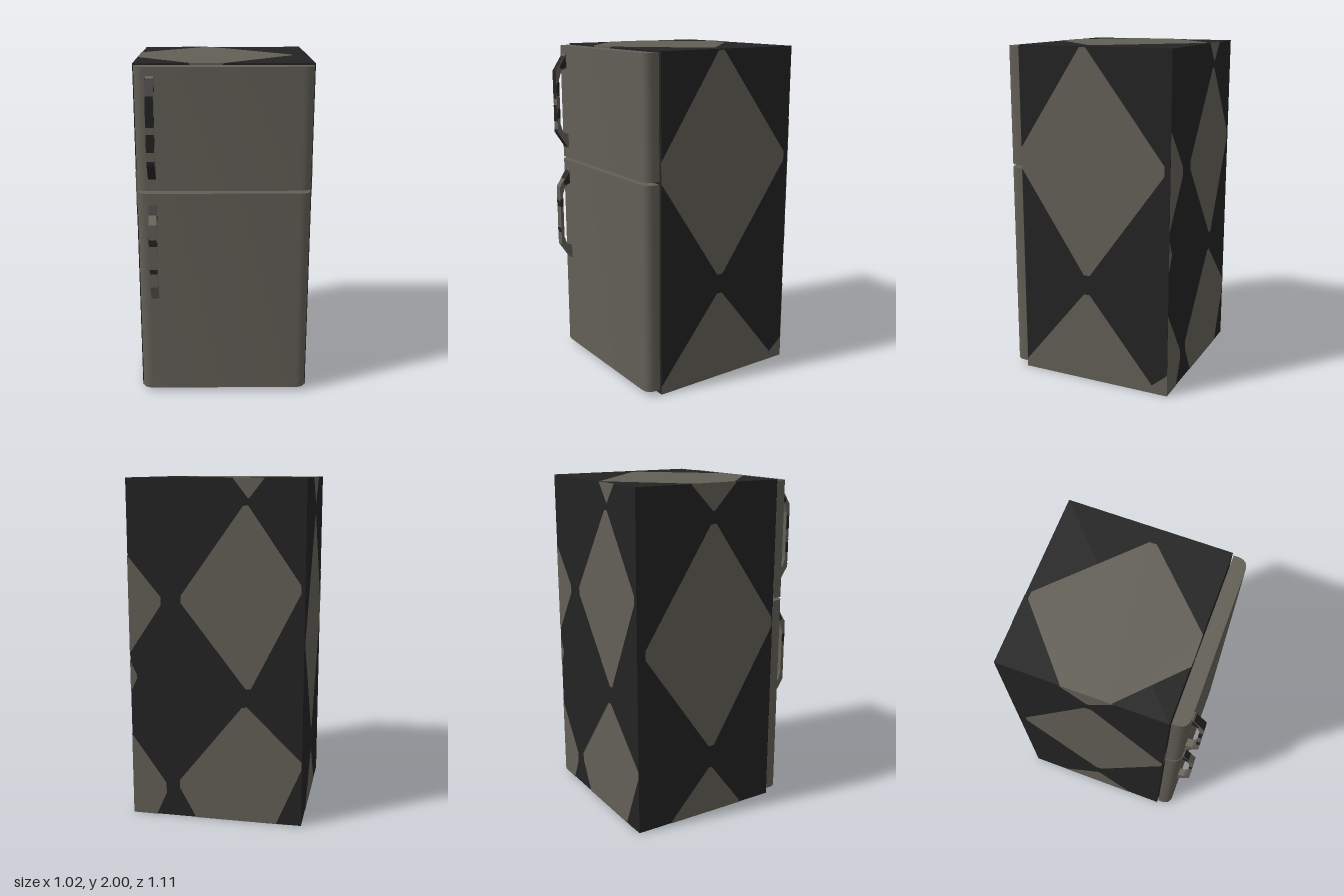
import * as THREE from 'three';
import { toCreasedNormals } from 'three/addons/utils/BufferGeometryUtils.js';

const grey = new THREE.MeshStandardMaterial({ color: 0x625f56, side: THREE.DoubleSide });
grey.name = 'warm grey';
const black = new THREE.MeshStandardMaterial({ color: 0x232323, side: THREE.DoubleSide });
black.name = 'black';

// Cabinet limits
const W = 0.51, BACK = -0.555, FRONT = 0.39, H = 2, INSET = 0.0015;

function mesh(name, geometry, material) {
  const m = new THREE.Mesh(geometry, material);
  m.name = name;
  return m;
}

function shapeOf(points) {
  return new THREE.Shape(points.map(([a, b]) => new THREE.Vector2(a, b)));
}

// Flat painted patch: a 2D outline laid onto a surface by place(u, v) -> [x, y, z]
function patch(name, points, place, material) {
  const g = new THREE.ShapeGeometry(shapeOf(points));
  const p = g.attributes.position;
  for (let i = 0; i < p.count; i++) p.setXYZ(i, ...place(p.getX(i), p.getY(i)));
  g.computeVertexNormals();
  return mesh(name, g, material);
}

const mix = (a, b, t) => [a[0] + (b[0] - a[0]) * t, a[1] + (b[1] - a[1]) * t];

// Blunt each tip of a lozenge
function blunt(tips) {
  const n = tips.length;
  return tips.flatMap((p, i) => [mix(p, tips[(i + n - 1) % n], 0.04), mix(p, tips[(i + 1) % n], 0.04)]);
}

// Keep the part of an outline where sign * coordinate <= sign * limit
function clip(points, axis, limit, sign) {
  const out = [];
  points.forEach((p, i) => {
    const q = points[(i + 1) % points.length];
    const dp = sign * (p[axis] - limit), dq = sign * (q[axis] - limit);
    if (dp <= 0) out.push(p);
    if (dp * dq < 0) out.push(mix(p, q, dp / (dp - dq)));
  });
  return out;
}

// Lozenges painted on one cabinet face, trimmed to the face edges
function paintFace(name, [u0, u1, v0, v1], place, lozenges) {
  const g = new THREE.Group();
  g.name = name;
  for (const tips of lozenges) {
    let o = blunt(tips);
    o = clip(clip(o, 0, u0, -1), 0, u1, 1);
    o = clip(clip(o, 1, v0, -1), 1, v1, 1);
    g.add(patch('lozenge', o, place, grey));
  }
  return g;
}

function cabinet() {
  const g = new THREE.Group();
  g.name = 'cabinet';
  const box = new THREE.BoxGeometry(2 * (W - INSET), H - 2 * INSET, FRONT - BACK - 2 * INSET);
  box.translate(0, H / 2, (FRONT + BACK) / 2);
  g.add(mesh('cabinetShell', box, black));

  const side = [BACK, FRONT, 0, H], upright = [-W, W, 0, H], flat = [-W, W, BACK, FRONT];
  g.add(paintFace('leftSidePaint', side, (z, y) => [W, y, z], [
    [[-0.02, 2.02], [-0.54, 1.34], [-0.035, 0.64], [0.43, 1.34]],
    [[-0.035, 0.57], [-0.5, 0], [-0.035, -0.5], [0.43, 0]],
    [[-0.6, 0.17], [-0.4, 0], [-0.6, -0.17], [-0.8, 0]],
  ]));
  g.add(paintFace('rightSidePaint', side, (z, y) => [-W, y, z], [
    [[-0.055, 2.16], [0.1, 2], [-0.055, 1.84], [-0.21, 2]],
    [[-0.055, 1.8], [0.4, 1.15], [-0.05, 0.41], [-0.52, 1.08]],
    [[-0.055, 0.31], [0.18, 0], [-0.055, -0.3], [-0.34, 0]],
  ]));
  g.add(paintFace('backPaint', upright, (x, y) => [x, y, BACK], [
    [[-0.19, 2.11], [-0.1, 2], [-0.19, 1.885], [-0.28, 2]],
    [[-0.175, 1.87], [0.215, 1.32], [-0.195, 0.79], [-0.5, 1.4]],
    [[-0.17, 0.72], [0.235, 0.21], [-0.15, -0.5], [-0.52, 0.38]],
    [[0.72, 1.82], [0.3, 1.31], [0.72, 0.68], [1.1, 1.3]],
    [[0.56, 1.06], [0.465, 0.855], [0.56, 0.65], [0.66, 0.855]],
    [[0.72, 0.8], [0.285, 0.18], [0.72, -0.8], [1.1, 0.2]],
  ]));
  g.add(paintFace('topPaint', flat, (x, z) => [x, H, z], [
    [[-0.1, -0.55], [0.435, -0.03], [-0.09, 0.48], [-0.66, -0.06]],
  ]));
  g.add(paintFace('bottomPaint', flat, (x, z) => [x, 0, z], [
    [[0.25, 0.09], [-0.18, -0.32], [-0.57, 0.03], [-0.12, 0.5]],
    [[-0.2, -0.49], [0.05, -0.555], [-0.2, -0.62], [-0.45, -0.555]],
    [[0.36, 0.05], [0.65, -0.35], [0.9, 0.1], [0.45, 0.7]],
  ]));
  g.add(paintFace('frontPaint', upright, (x, y) => [x, y, FRONT], [
    [[-0.1, 2.1], [0, 2], [-0.1, 1.9], [-0.2, 2]],
    [[-0.1, 1.85], [0.33, 1.28], [-0.1, 0.7], [-0.6, 1.28]],
    [[-0.1, 0.3], [0.24, 0], [-0.1, -0.3], [-0.43, 0]],
  ]));
  return g;
}

// Door slab with rounded front vertical edges
function door(name, y0, y1) {
  const w = 0.5, zb = -0.396, zf = -0.482, r = 0.065;
  const s = new THREE.Shape();
  s.moveTo(-w, zb);
  s.lineTo(-w, zf + r);
  s.quadraticCurveTo(-w, zf, -w + r, zf);
  s.lineTo(w - r, zf);
  s.quadraticCurveTo(w, zf, w, zf + r);
  s.lineTo(w, zb);
  const e = new THREE.ExtrudeGeometry(s, { depth: y1 - y0, bevelEnabled: false, curveSegments: 6 });
  e.rotateX(-Math.PI / 2);
  e.translate(0, y0, 0);
  return mesh(name, toCreasedNormals(e, 0.6), grey);
}

// Bracket handle; heights are measured from its lower end
const LEN = 0.58, X0 = -0.43, X1 = -0.385, ZIN = 0.482, ZOUT = 0.555;
const outerZ = (y) => Math.min(ZOUT, 0.488 + 0.67 * Math.min(y, LEN - y));

function handle(name, y0, frontBands, sideBands) {
  const g = new THREE.Group();
  g.name = name;
  const lower = [[ZIN, 0], [0.488, 0], [ZOUT, 0.1]];
  const inner = [[0.535, 0.15], [0.518, 0.1], [ZIN, 0.085]];
  const flip = (pts) => pts.map(([z, y]) => [z, LEN - y]).reverse();
  const outline = [...lower, ...flip(lower), ...flip(inner), ...inner];
  const bar = new THREE.ExtrudeGeometry(shapeOf(outline), { depth: X1 - X0, bevelEnabled: false });
  bar.rotateY(-Math.PI / 2);
  bar.translate(X1, 0, 0);
  g.add(mesh('handleBar', bar, grey));

  // black marks on the outer face
  for (const [a, b] of frontBands) {
    g.add(patch('handleFrontMark', [[X0, a], [X1, a], [X1, b], [X0, b]],
      (x, y) => [x, y, outerZ(y) + 0.001], black));
  }
  // black marks on both flanks: the upper foot and bands along the grip
  const foot = [[0.484, 0.5], [0.52, 0.49], [0.53, 0.505], [0.488, 0.57]];
  const bands = sideBands.map(([a, b]) => [[0.535, a], [ZOUT, a], [ZOUT, b], [0.535, b]]);
  for (const o of [foot, ...bands]) {
    for (const x of [X0 - 0.001, X1 + 0.001]) {
      g.add(patch('handleSideMark', o, (z, y) => [x, y, z], black));
    }
  }
  g.position.y = y0;
  return g;
}

export function createModel() {
  const model = new THREE.Group();
  model.name = 'refrigerator';
  model.add(cabinet());
  model.add(door('lowerDoor', 0.03, 1.275));
  model.add(door('upperDoor', 1.292, 1.99));
  model.add(handle('upperHandle', 1.36,
    [[0, 0.1], [0.1, 0.12], [0.17, 0.27], [0.31, 0.48], [0.48, 0.57]], [[0.19, 0.25], [0.33, 0.41]]));
  model.add(handle('lowerHandle', 0.63,
    [[0.18, 0.21], [0.35, 0.39], [0.53, 0.58]], [[0.35, 0.4]]));
  return model;
}
